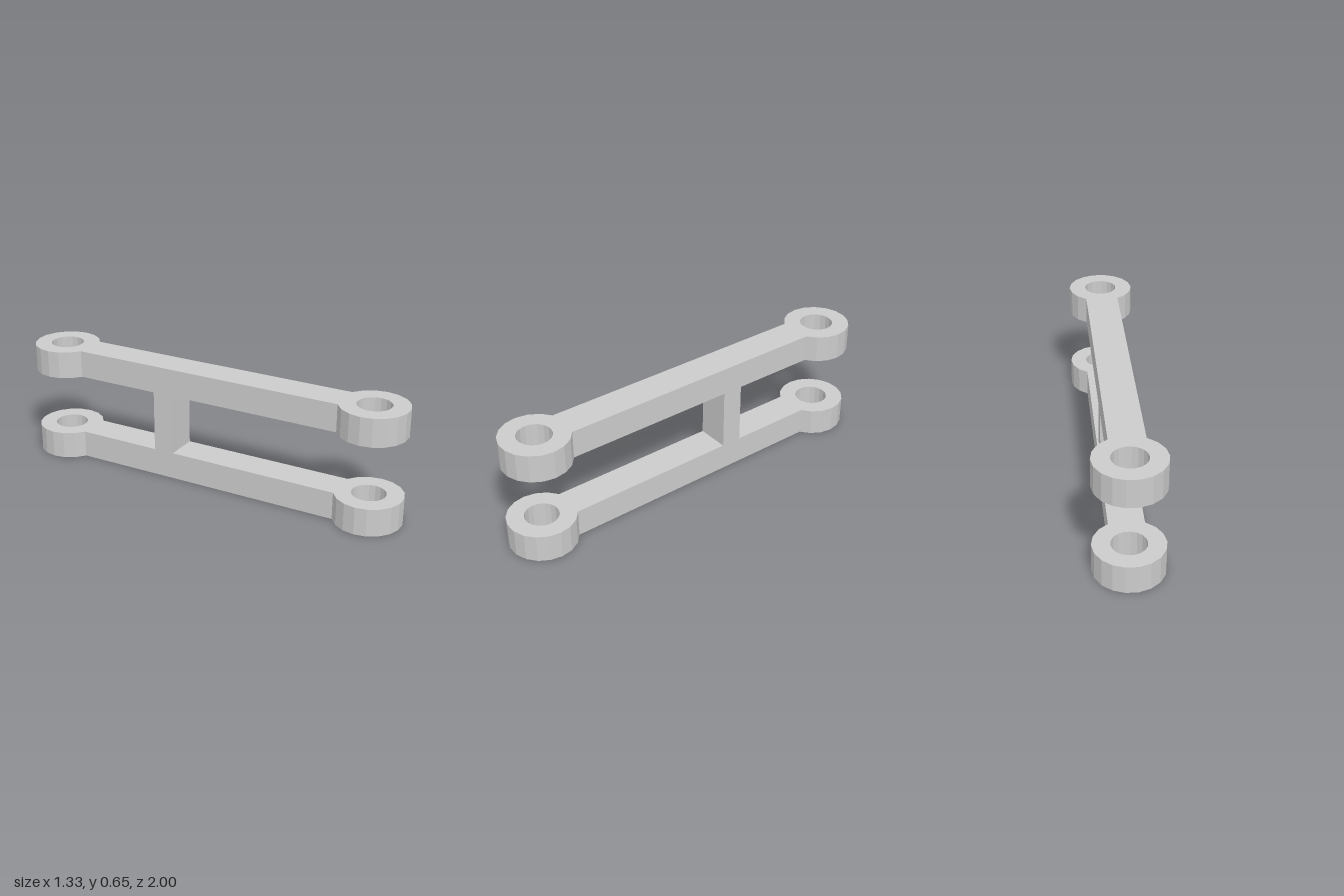
import * as THREE from 'three';

const RING = { x: 0.481, z: 0.814, radius: 0.186, hole: 0.0925 };
const SIDES = 18;
const LINK_HEIGHT = 0.154;
const UPPER_Y = 0.498;

// Points on an arc about (cx, cy), in 20 degree steps
function arc(cx, cy, radius, startDegrees, steps) {
  return Array.from({ length: steps + 1 }, (_, i) => {
    const a = THREE.MathUtils.degToRad(startDegrees + (i * 360) / SIDES);
    return new THREE.Vector2(cx + radius * Math.cos(a), cy + radius * Math.sin(a));
  });
}

// Straight bar with a pierced eye at each end, lying flat from y = 0
function linkGeometry() {
  const { x, z, radius, hole } = RING;
  const shape = new THREE.Shape([
    ...arc(x, z, radius, -90, 15),
    ...arc(-x, -z, radius, 90, 15),
  ]);
  for (const s of [1, -1]) {
    shape.holes.push(new THREE.Path(arc(s * x, s * z, hole, 90, SIDES - 1)));
  }
  return new THREE.ExtrudeGeometry(shape, { depth: LINK_HEIGHT, bevelEnabled: false })
    .rotateX(Math.PI / 2)
    .translate(0, LINK_HEIGHT, 0);
}

export function createModel() {
  const model = new THREE.Group();
  model.name = 'doubleLinkArm';
  const material = new THREE.MeshStandardMaterial({ color: 0xcccccc, flatShading: true });

  // Two identical links, one above the other
  const geometry = linkGeometry();
  for (const [name, y] of [['lowerLink', 0], ['upperLink', UPPER_Y]]) {
    const link = new THREE.Mesh(geometry, material);
    link.name = name;
    link.position.y = y;
    model.add(link);
  }

  // Off-centre post joining the links, flush with their sides
  const gap = UPPER_Y - LINK_HEIGHT;
  const post = new THREE.Mesh(new THREE.BoxGeometry(0.118, gap, 0.186), material);
  post.name = 'connectingPost';
  post.position.set(-0.125, LINK_HEIGHT + gap / 2, -0.211);
  post.rotation.y = -Math.atan2(RING.z, RING.x);
  model.add(post);

  return model;
}
